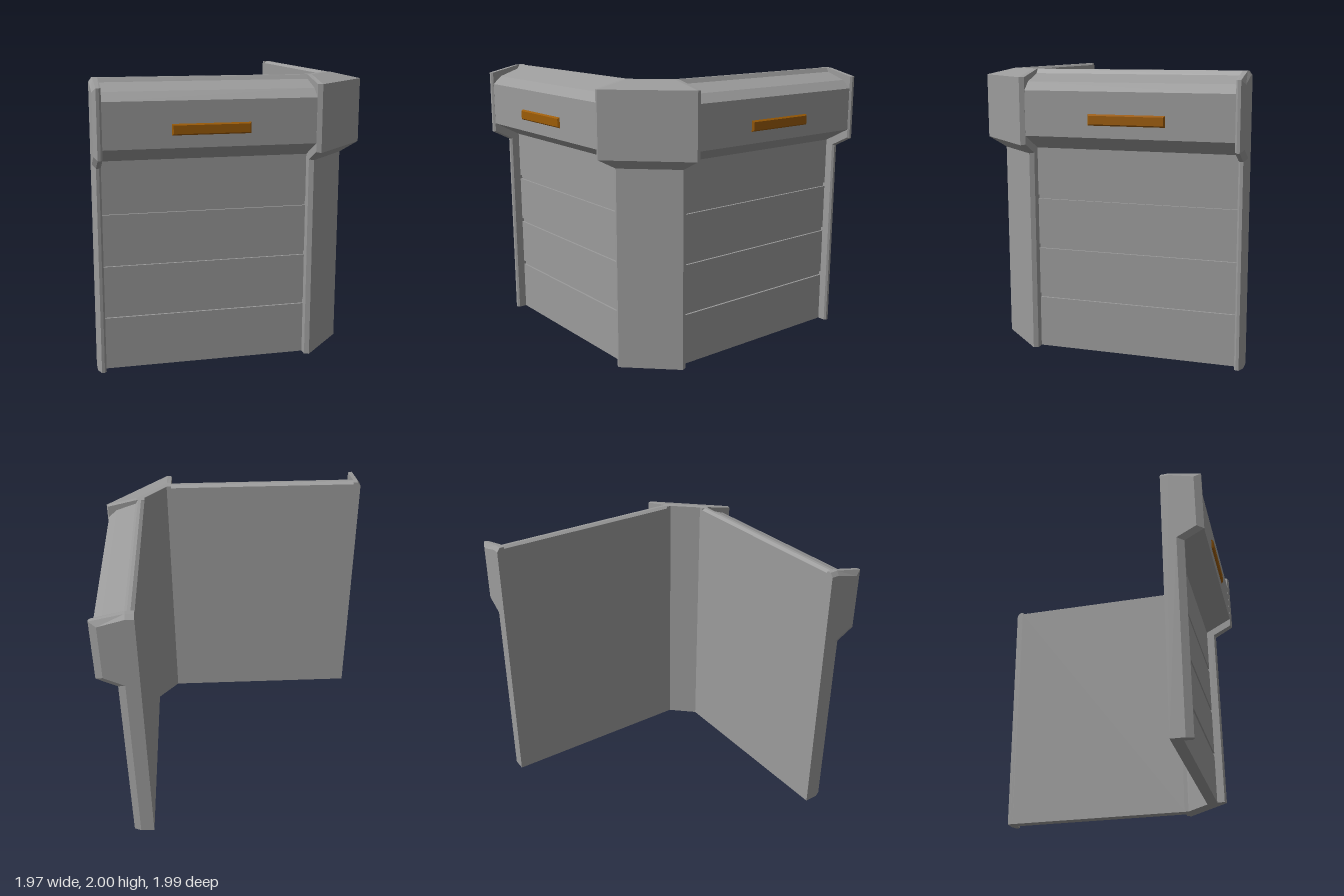
import * as THREE from 'three';

const grey = new THREE.MeshStandardMaterial({ color: 0x9b9b9b, flatShading: true });
const amber = new THREE.MeshStandardMaterial({ color: 0x9b5b05, flatShading: true });

// Post outline as [outward, up]; d pulls the front in and drop lowers the top for the chamfers
const postProfile = (d, drop = 0) => [
  [0.698, 0], [0.847 - d, 0], [0.847 - d, 1.42 + d * 0.4], [0.987 - d, 1.492 + d * 0.4],
  [0.987 - d, 1.95 - drop], [0.757, 2 - drop], [0.698, 2 - drop],
];

// Wall outline: plank grooves, overhanging fascia, sloping top and raised rim at the back
function wallProfile() {
  const face = 0.778, groove = 0.763;
  const p = [[0.698, 0], [face, 0]];
  for (const y of [0.365, 0.73, 1.09]) {
    p.push([face, y], [groove, y], [groove, y + 0.03], [face, y + 0.03]);
  }
  p.push([face, 1.455], [0.974, 1.557], [0.974, 1.863], [0.91, 1.92], [0.765, 1.97],
    [0.745, 2], [0.722, 2], [0.698, 1.985]);
  return p;
}

// Ring of points at a distance along a wing; side = true swaps x and z
const ring = (profile, along, side) => profile.map(([out, y]) =>
  side ? [out - 0.005, y, along] : [along, y, out + 0.007]);

// Closed, flat-shaded skin through matching rings
function loft(name, profile, rings, flip = false) {
  const pos = [];
  const tri = (a, b, c) => pos.push(...a, ...(flip ? c : b), ...(flip ? b : c));
  const n = profile.length;
  for (let r = 0; r < rings.length - 1; r++) {
    for (let i = 0; i < n; i++) {
      const j = (i + 1) % n, p = rings[r], q = rings[r + 1];
      tri(p[i], q[i], q[j]);
      tri(p[i], q[j], p[j]);
    }
  }
  const first = rings[0], last = rings[rings.length - 1];
  const outline = profile.map(([a, b]) => new THREE.Vector2(a, b));
  for (const [a, b, c] of THREE.ShapeUtils.triangulateShape(outline, [])) {
    tri(first[a], first[b], first[c]);
    tri(last[a], last[c], last[b]);
  }
  const geo = new THREE.BufferGeometry();
  geo.setAttribute('position', new THREE.Float32BufferAttribute(pos, 3));
  geo.computeVertexNormals();
  const mesh = new THREE.Mesh(geo, grey);
  mesh.name = name;
  return mesh;
}

// Bevelled bar on the fascia
function makeHandle() {
  const geo = new THREE.BoxGeometry(0.548, 0.096, 0.03);
  const p = geo.attributes.position;
  for (let i = 0; i < p.count; i++) {
    if (p.getZ(i) > 0) {
      p.setX(i, p.getX(i) - Math.sign(p.getX(i)) * 0.02);
      p.setY(i, p.getY(i) - Math.sign(p.getY(i)) * 0.02);
    }
  }
  geo.computeVertexNormals();
  const mesh = new THREE.Mesh(geo, amber);
  mesh.name = 'handle';
  return mesh;
}

function makeWing(name, end, side) {
  const wing = new THREE.Group();
  wing.name = name;
  const wall = wallProfile();
  wing.add(loft('plankWall', wall,
    [end + 0.05, 0.505].map((u) => ring(wall, u, side)), side));

  // Chamfered post closing the free end
  const stations = [[0, 0.05, 0.03], [0.022, 0, 0], [0.042, 0, 0], [0.055, 0.012, 0]];
  wing.add(loft('endPost', postProfile(0),
    stations.map(([u, d, drop]) => ring(postProfile(d, drop), end + u, side)), side));

  const handle = makeHandle();
  if (side) {
    handle.position.set(0.969, 1.677, -0.218);
    handle.rotation.y = Math.PI / 2;
  } else {
    handle.position.set(-0.218, 1.677, 0.98);
  }
  wing.add(handle);
  return wing;
}

export function createModel() {
  const model = new THREE.Group();
  model.name = 'cornerCounter';
  model.add(makeWing('frontWing', -0.983, false), makeWing('sideWing', -0.993, true));

  // Diagonal post joining the two wings
  const inner = postProfile(0.012), full = postProfile(0);
  model.add(loft('cornerPost', full, [
    ring(inner, 0.497, false), ring(full, 0.53, false),
    ring(full, 0.53, true), ring(inner, 0.497, true),
  ]));
  return model;
}
